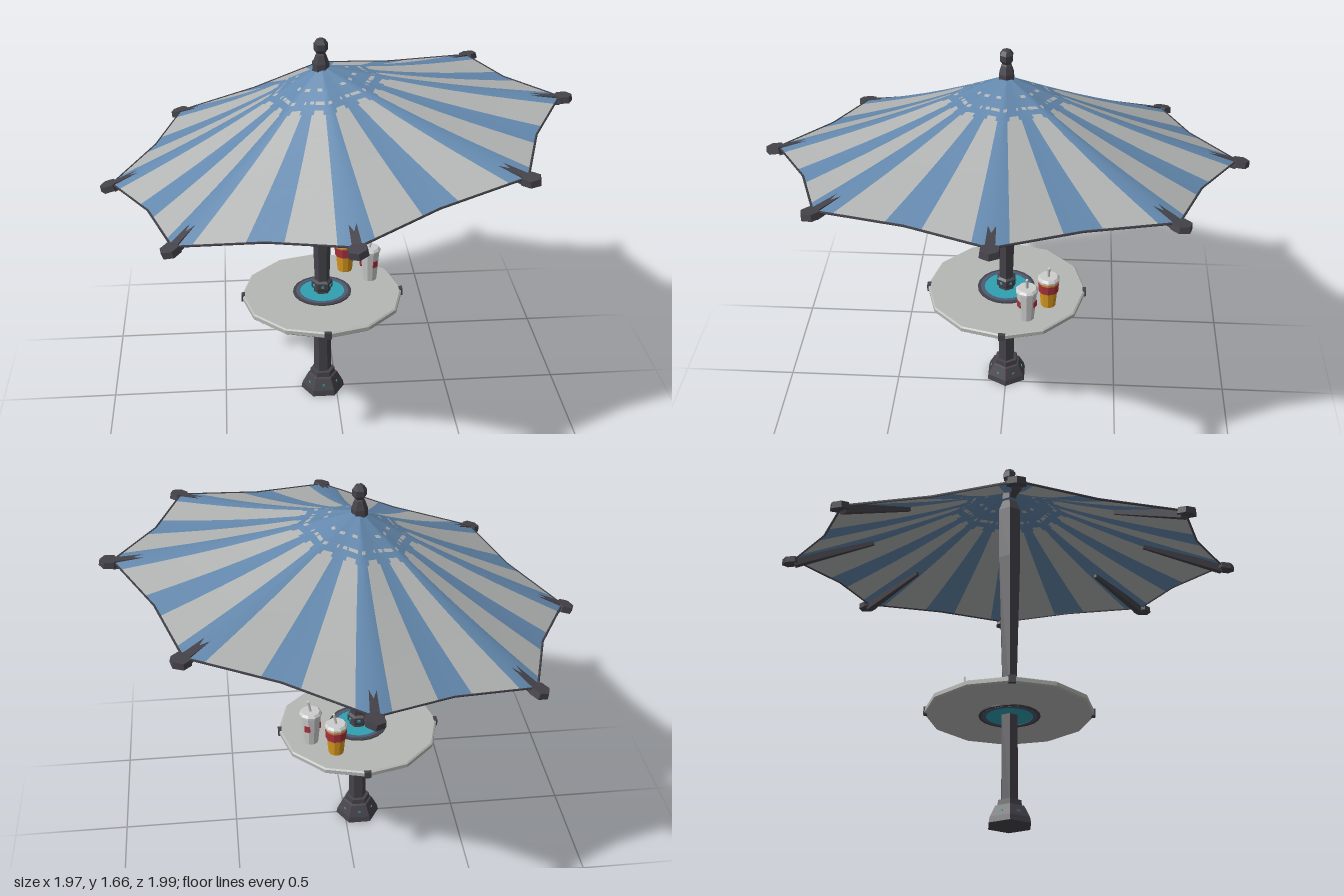
import * as THREE from 'three';

const mat = (name, color, extra = {}) => {
  const m = new THREE.MeshStandardMaterial({ color, ...extra });
  m.name = name;
  return m;
};

export function createModel() {
  const root = new THREE.Group();
  root.name = 'parasolTable';
  const dark = mat('charcoal', 0x45434a);
  const white = mat('fabricWhite', 0xb2b4b4, { side: THREE.DoubleSide });
  const blue = mat('fabricBlue', 0x6489ae, { side: THREE.DoubleSide });
  const tableGrey = mat('tableGrey', 0xb4b7b4);
  const teal = mat('teal', 0x2f9fb0);
  const slate = mat('slateBlue', 0x4e5a72);
  const yellow = mat('cupYellow', 0xd8991f);
  const red = mat('cupRed', 0xa8323c);
  const cupWhite = mat('cupWhite', 0xcdcdcd);

  const add = (parent, name, geo, material, x = 0, y = 0, z = 0) => {
    const mesh = new THREE.Mesh(geo, material);
    mesh.name = name;
    mesh.position.set(x, y, z);
    parent.add(mesh);
    return mesh;
  };
  // Faceted geometry with hard edges
  const facet = (geo) => {
    const g = geo.index ? geo.toNonIndexed() : geo;
    g.computeVertexNormals();
    return g;
  };
  // Faceted turned part from [radius, y] points, a corner pointing along x
  const turned = (pts, sides = 6) => {
    const g = new THREE.LatheGeometry(pts.map(([r, y]) => new THREE.Vector2(r, y)), sides);
    g.rotateY(Math.PI / 2);
    return facet(g);
  };

  // Post, centred slightly to the right of the canopy
  const post = new THREE.Group();
  post.name = 'post';
  post.position.x = -0.06;
  root.add(post);
  add(post, 'base', turned([[0, 0], [0.097, 0], [0.092, 0.025], [0.066, 0.075], [0.056, 0.078], [0.054, 0.1], [0, 0.104]]), dark);
  add(post, 'lowerPole', turned([[0.038, 0.09], [0.038, 0.5]]), dark);
  add(post, 'collar', turned([[0.038, 0.455], [0.038, 0.5], [0.036, 0.515], [0.046, 0.525], [0.046, 0.555], [0.034, 0.563]]), dark);
  add(post, 'upperPole', turned([[0.032, 0.55], [0.053, 1.2], [0.054, 1.44], [0.035, 1.49], [0, 1.5]]), dark);
  add(post, 'finial', turned([[0.036, 1.5], [0.034, 1.56], [0.022, 1.595], [0.018, 1.602], [0.029, 1.617], [0.03, 1.642], [0.018, 1.66], [0, 1.664]]), dark);
  // Small lights on the collar and base
  for (let k = 0; k < 6; k++) {
    const a = Math.PI / 6 + k * Math.PI / 3;
    for (const [r, y] of [[0.04, 0.541], [0.068, 0.045]]) {
      const l = add(post, 'light', new THREE.BoxGeometry(0.012, 0.01, 0.008), teal, r * Math.cos(a), y, r * Math.sin(a));
      l.rotation.y = -a + Math.PI / 2;
    }
  }

  // Table top with a hole, inlay and edge clips
  const table = new THREE.Group();
  table.name = 'table';
  table.position.x = -0.06;
  root.add(table);
  add(table, 'tableTop', turned([[0.1, 0.472], [0.346, 0.472], [0.353, 0.478], [0.353, 0.494], [0.346, 0.499], [0.1, 0.499]], 12), tableGrey);
  const ring = (r0, r1, y0, y1) => turned([[r0, y0], [r1, y0], [r1, y1], [r0, y1], [r0, y0]], 20);
  add(table, 'inlayRim', ring(0.115, 0.128, 0.467, 0.504), dark);
  add(table, 'inlayTrim', ring(0.098, 0.115, 0.466, 0.506), slate);
  add(table, 'inlayDisc', ring(0.03, 0.1, 0.468, 0.504), teal);
  for (let k = 0; k < 4; k++) {
    const a = k * Math.PI / 2;
    const clip = add(table, 'edgeClip', new THREE.BoxGeometry(0.016, 0.03, 0.03), dark, 0.347 * Math.cos(a), 0.486, 0.347 * Math.sin(a));
    clip.rotation.y = -a;
  }

  // Canopy, tilted as one piece
  const canopy = new THREE.Group();
  canopy.name = 'canopy';
  canopy.position.set(0, 1.21, 0);
  canopy.rotation.z = THREE.MathUtils.degToRad(10);
  root.add(canopy);

  // Scalloped rim: eight corners with pulled-in points between
  const rimKey = (k) => {
    const r = k % 2 ? 0.84 : 0.945, a = k * Math.PI / 8;
    return new THREE.Vector3(r * Math.cos(a), 0.01, r * Math.sin(a));
  };
  const APEX = 0.345;
  const surface = (k, f, t) => {
    const p = rimKey(k).lerp(rimKey(k + 1), f);
    return new THREE.Vector3(p.x * t, APEX + (p.y - APEX) * t - 0.016 * Math.sin(Math.PI * t), p.z * t);
  };
  const fr = [0, 0.21, 0.3, 0.7, 0.79];
  const rows = [0, 0.05, 0.135, 0.152, 0.21, 0.228, 0.26, 0.285, 0.42, 0.56, 0.7, 0.85, 1];
  const cols = 16 * fr.length;
  const pos = [], whiteIdx = [], blueIdx = [];
  for (const t of rows)
    for (let c = 0; c < cols; c++)
      pos.push(...surface(Math.floor(c / fr.length), fr[c % fr.length], t).toArray());
  // Stripes: white between the spokes, plus two broken rings near the top
  const isWhite = (i, c) => {
    const s = c % fr.length, k = Math.floor(c / fr.length);
    if (i >= 7) return s >= 1 && s <= 3;
    if (i === 6) return s === 2;
    if (i === 4) return s === 1 || (s === 2 && k % 2 === 0) || s === 4;
    if (i === 2) return s === 2 && k % 4 !== 3;
    return false;
  };
  for (let i = 0; i < rows.length - 1; i++)
    for (let c = 0; c < cols; c++) {
      const n = (c + 1) % cols;
      const a = i * cols + c, b = i * cols + n, d = a + cols, e = b + cols;
      const list = isWhite(i, c) ? whiteIdx : blueIdx;
      if (i > 0) list.push(a, b, e);
      list.push(a, e, d);
    }
  const fabric = new THREE.BufferGeometry();
  fabric.setAttribute('position', new THREE.Float32BufferAttribute(pos, 3));
  fabric.setIndex([...whiteIdx, ...blueIdx]);
  fabric.addGroup(0, whiteIdx.length, 0);
  fabric.addGroup(whiteIdx.length, blueIdx.length, 1);
  fabric.computeVertexNormals();
  add(canopy, 'fabric', fabric, [white, blue]);

  // Thin hem along the rim
  const hemPath = new THREE.CurvePath();
  for (let k = 0; k < 16; k++) hemPath.add(new THREE.LineCurve3(rimKey(k), rimKey(k + 1)));
  add(canopy, 'hem', new THREE.TubeGeometry(hemPath, 128, 0.005, 4, true), dark);

  // Ribs and end caps at the eight corners
  for (let k = 0; k < 8; k++) {
    const rib = new THREE.Group();
    rib.name = 'rib';
    rib.rotation.y = k * Math.PI / 4;
    canopy.add(rib);
    const cap = add(rib, 'ribCap', facet(new THREE.CylinderGeometry(0.038, 0.042, 0.026, 6).rotateY(Math.PI / 6)), dark, 0.957, 0.002, 0);
    cap.rotation.z = -0.12;
    const bar = new THREE.CylinderGeometry(0.026, 0.011, 0.36, 4).rotateY(Math.PI / 4);
    const arm = add(rib, 'ribArm', facet(bar), dark, 0.77, 0.044, 0);
    arm.rotation.z = -Math.PI / 2 - 0.27;
  }

  // Drinking cups
  const cup = (name, x, z, h, body, turn) => {
    const g = new THREE.Group();
    g.name = name;
    g.position.set(x, 0.5, z);
    g.rotation.y = turn;
    root.add(g);
    add(g, 'cupBody', turned([[0, 0], [0.033, 0], [0.045, h - 0.012], [0, h - 0.012]], 10), body);
    add(g, 'cupLid', turned([[0.045, h - 0.014], [0.049, h - 0.012], [0.049, h - 0.003], [0.04, h + 0.007], [0, h + 0.007]], 10), cupWhite);
    const straw = add(g, 'straw', new THREE.CylinderGeometry(0.006, 0.006, 0.06, 6), cupWhite, 0.004, h + 0.025, 0);
    straw.rotation.z = -0.2;
    return g;
  };
  const soda = cup('yellowCup', 0.057, -0.19, 0.142, yellow, 0);
  add(soda, 'cupBand', turned([[0.0395, 0.075], [0.0445, 0.077], [0.047, 0.118], [0.042, 0.12]], 10), red);
  const shake = cup('whiteCup', 0.158, -0.1, 0.15, cupWhite, 0);
  // Plain red patches around the white cup
  for (let k = 0; k < 3; k++) {
    const a = 0.6 + k * Math.PI * 2 / 3;
    const patch = add(shake, 'cupPatch', new THREE.BoxGeometry(0.024, 0.03, 0.008), red, 0.0385 * Math.sin(a), 0.085, 0.0385 * Math.cos(a));
    patch.rotation.y = a;
  }
  return root;
}
